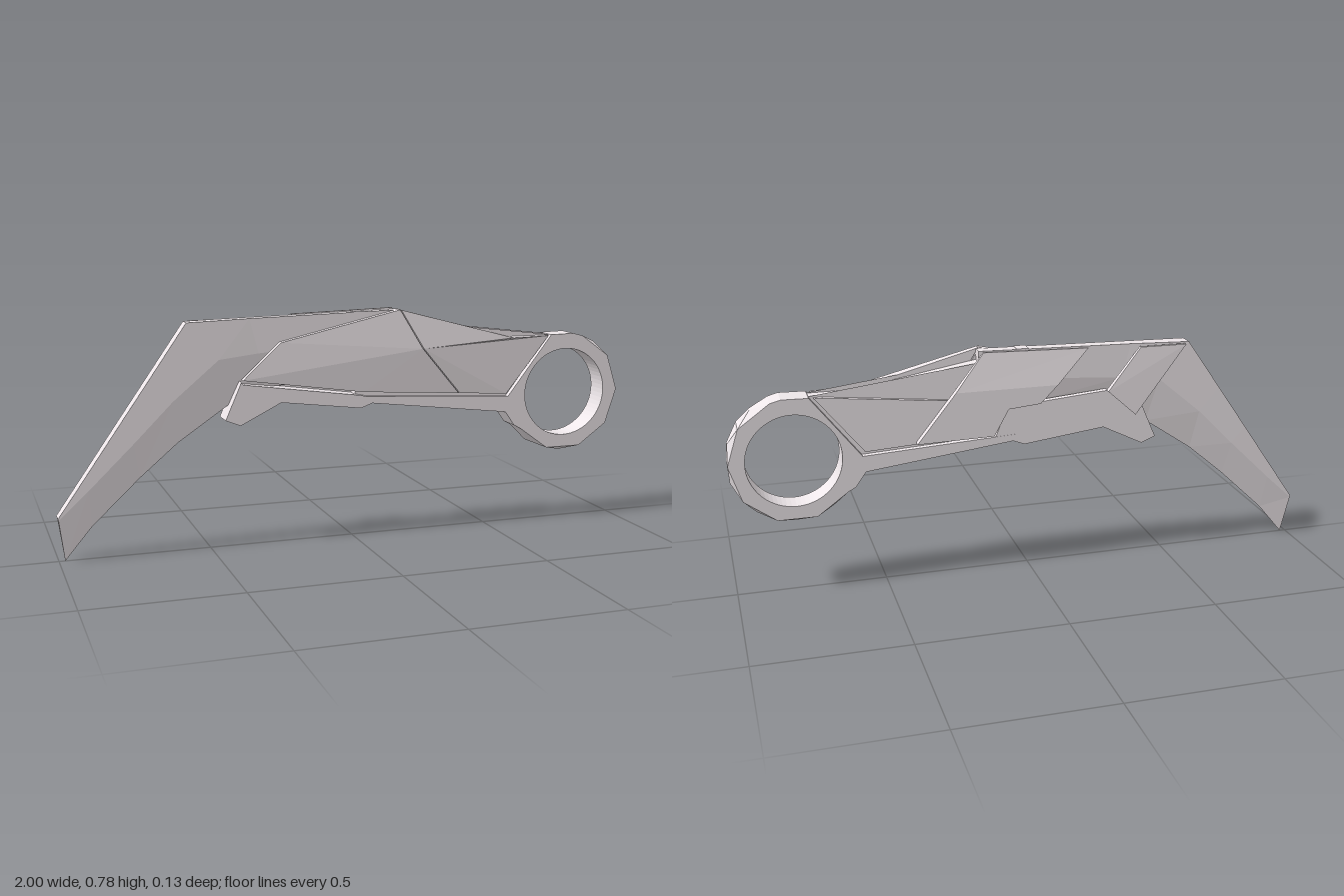
import * as THREE from 'three';

const flat = new THREE.MeshStandardMaterial({ color: 0xeee7ea, flatShading: true });
const smooth = new THREE.MeshStandardMaterial({ color: 0xeee7ea });

function meshFromTriangles(name, tris) {
  const g = new THREE.BufferGeometry();
  g.setAttribute('position', new THREE.Float32BufferAttribute(tris.flat(2), 3));
  g.computeVertexNormals();
  const m = new THREE.Mesh(g, flat);
  m.name = name;
  return m;
}

// Solid panel: outline with its own z per corner (or one shared z), closed at a flat plane zIn.
// The outer face fans out from the first corner, so creases start there.
function slab(name, outline, zIn, zOut = 0) {
  let top = outline.map(([x, y, z = zOut]) => [x, y, z]);
  if (THREE.ShapeUtils.isClockWise(top.map(p => new THREE.Vector2(p[0], p[1])))) {
    top = [top[0], ...top.slice(1).reverse()];
  }
  const base = top.map(([x, y]) => [x, y, zIn]);
  const tris = [];
  for (let i = 1; i < top.length - 1; i++) {
    tris.push([top[0], top[i], top[i + 1]], [base[0], base[i + 1], base[i]]);
  }
  top.forEach((p, i) => {
    const j = (i + 1) % top.length;
    tris.push([base[i], base[j], top[j]], [base[i], top[j], p]);
  });
  const flip = top[0][2] < zIn;
  return meshFromTriangles(name, flip ? tris.map(t => [t[2], t[1], t[0]]) : tris);
}

// Blade lofted from sections of spine, bevel line and cutting edge.
function makeBlade() {
  const stations = [ // spine, bevel, edge, half thickness
    [[0.17, 0.783], [0.17, 0.69], [0.17, 0.55], 0.02],
    [[-0.36, 0.771], [-0.33, 0.655], [-0.31, 0.54], 0.021],
    [[-0.57, 0.765], [-0.465, 0.64], [-0.43, 0.485], 0.026],
    [[-0.69, 0.593], [-0.62, 0.51], [-0.6, 0.37], 0.027],
    [[-0.8, 0.436], [-0.75, 0.38], [-0.73, 0.26], 0.027],
    [[-0.92, 0.264], [-0.9, 0.235], [-0.89, 0.11], 0.026],
    [[-1, 0.15], [-0.998, 0.145], [-0.98, 0.003], 0.025],
  ];
  const rings = stations.map(([s, r, e, t]) =>
    [[...s, t], [...r, t], [...e, 0], [...r, -t], [...s, -t]]);
  const tris = [];
  for (let i = 0; i < rings.length - 1; i++) {
    const a = rings[i], b = rings[i + 1];
    for (let k = 0; k < 5; k++) {
      const n = (k + 1) % 5;
      tris.push([a[k], b[k], b[n]], [a[k], b[n], a[n]]);
    }
  }
  const first = rings[0], last = rings[rings.length - 1];
  for (let k = 1; k < 4; k++) {
    tris.push([first[0], first[k], first[k + 1]], [last[0], last[k + 1], last[k]]);
  }
  return meshFromTriangles('blade', tris);
}

// Lower frame with the finger ring, and the staggered facets around the ring's rim.
function makeFrame() {
  const group = new THREE.Group();
  group.name = 'frame';
  const cx = 0.79, cy = 0.47, half = 0.043, step = Math.PI / 5;
  const around = (r, k, z) => [cx + r * Math.cos(k * step), cy + r * Math.sin(k * step), z];
  const edge = (i, z) => around(0.21, i, z);
  const mid = (i, z) => around(0.216, i + 0.5, z);
  const first = 6, last = 12;

  const outline = [
    [0.82, 0.679], [0.732, 0.677], [0.568, 0.465], [0.04, 0.494], [0.02, 0.499], [-0.39, 0.556],
    [-0.395, 0.565], [-0.45, 0.44], [-0.4, 0.42], [-0.26, 0.49], [0.02, 0.455], [0.06, 0.47],
    [0.56, 0.41], [0.595, 0.36],
  ];
  for (let i = first; i <= last; i++) outline.push(edge(i, 0));
  const shape = new THREE.Shape(outline.map(([x, y]) => new THREE.Vector2(x, y)));
  shape.holes.push(new THREE.Path().absarc(cx, cy, 0.156, 0, Math.PI * 2, true));
  const body = new THREE.Mesh(
    new THREE.ExtrudeGeometry(shape, { depth: half * 2, bevelEnabled: false, curveSegments: 32 })
      .translate(0, 0, -half), flat);
  body.name = 'frameBody';

  const tris = [];
  for (let i = first; i < last; i++) {
    const f = edge(i, half), f2 = edge(i + 1, half), b = edge(i, -half), b2 = edge(i + 1, -half);
    const mf = mid(i, 0.01), mb = mid(i, -0.01);
    tris.push([f, mf, f2], [b, b2, mb]);
    if (i === first) tris.push([f, b, mb], [f, mb, mf]);
    if (i === last - 1) {
      tris.push([f2, mf, mb], [f2, mb, b2]);
    } else {
      const nf = mid(i + 1, 0.01), nb = mid(i + 1, -0.01);
      tris.push([f2, mf, nf], [b2, nb, mb], [mf, mb, nb], [mf, nb, nf]);
    }
  }
  group.add(body, meshFromTriangles('ringRim', tris));
  return group;
}

export function createModel() {
  const model = new THREE.Group();
  model.name = 'foldingKnife';
  model.add(makeBlade(), makeFrame());

  // Spacer between the two sides
  model.add(slab('spacer', [
    [0.17, 0.745], [0.58, 0.675], [0.745, 0.675], [0.57, 0.45], [0, 0.48], [0.05, 0.745],
  ], -0.022, 0.0225));

  // Front cover, with a narrow seam between fore and rear
  const g = 0.002;
  const cover = new THREE.Group();
  cover.name = 'frontCover';
  cover.add(
    slab('coverFore', [[0.24 - g, 0.65, 0.058], [0.16 - g, 0.785, 0.047], [-0.26, 0.69, 0.045],
      [-0.39, 0.57, 0.045], [0.03, 0.51, 0.044], [0.38 - g, 0.488, 0.045]], 0.0227),
    slab('coverRear', [[0.24 + g, 0.65, 0.058], [0.38 + g, 0.488, 0.045], [0.56, 0.475, 0.044],
      [0.72, 0.675, 0.045], [0.575, 0.675, 0.066], [0.16 + g, 0.784, 0.047]], 0.0227),
  );
  model.add(cover);

  // Back scale, lock arm, raised plate and clip end
  model.add(
    slab('backScale', [[0.2, 0.62], [0.3, 0.63], [0.69, 0.672], [0.715, 0.672],
      [0.558, 0.477], [0.11, 0.502]], -0.02, -0.036),
    slab('lockArm', [[0.04, 0.494], [0.12, 0.49], [0.08, 0.59], [-0.27, 0.62], [-0.39, 0.556],
      [0.02, 0.499]], -0.02, -0.043),
    slab('backPlate', [[0.258, 0.66, -0.065], [0.16, 0.785, -0.048], [-0.2, 0.775, -0.048],
      [-0.09, 0.66, -0.065], [-0.03, 0.6, -0.065], [0.08, 0.59, -0.065], [0.13, 0.5, -0.065],
      [0.39, 0.495, -0.065]], -0.04),
    slab('clipEnd', [[-0.27, 0.62, -0.06], [-0.385, 0.765, -0.052], [-0.55, 0.764, -0.052],
      [-0.37, 0.53, -0.06]], -0.04),
  );

  // Pin holding the back plate, and the small stop on the spine
  const pin = new THREE.Mesh(
    new THREE.CylinderGeometry(0.02, 0.02, 0.025, 24).rotateX(Math.PI / 2), smooth);
  pin.name = 'platePin';
  pin.position.set(0.05, 0.722, -0.031);
  const stop = new THREE.Mesh(new THREE.BoxGeometry(0.04, 0.03, 0.044), flat);
  stop.name = 'spineStop';
  stop.position.set(0.02, 0.767, 0);
  model.add(pin, stop);
  return model;
}
